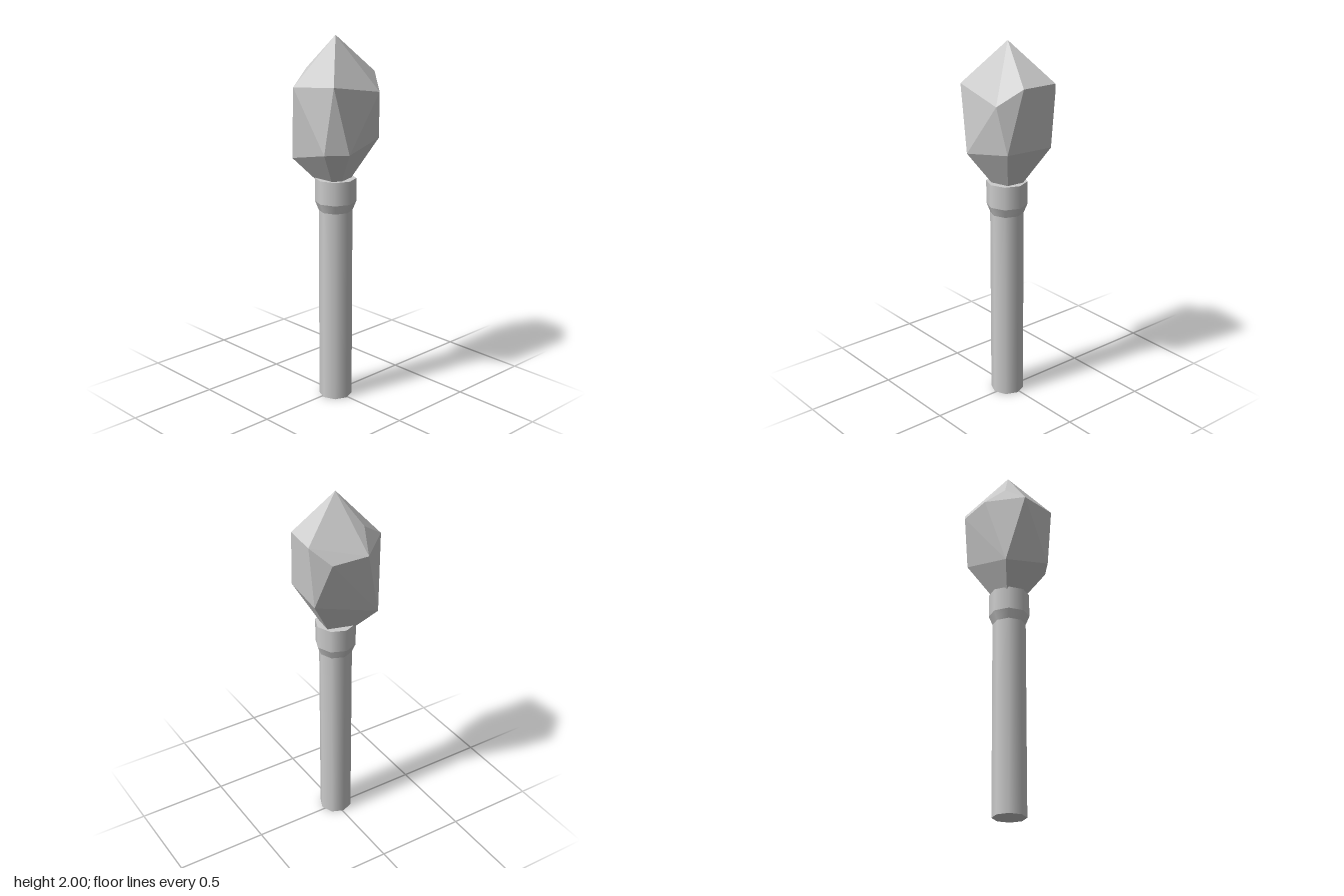
import * as THREE from 'three';
import { ConvexGeometry } from 'three/addons/geometries/ConvexGeometry.js';

const SIDES = 8;
const AXIS = { x: -0.008, z: 0.017 };

export function createModel() {
  const group = new THREE.Group();
  const smooth = new THREE.MeshStandardMaterial({ color: 0xcccccc });
  const faceted = new THREE.MeshStandardMaterial({ color: 0xcccccc, flatShading: true });

  // Eight-sided section of the shaft between two heights
  function section(name, bottomRadius, topRadius, y0, y1, open = false) {
    const geometry = new THREE.CylinderGeometry(topRadius, bottomRadius, y1 - y0, SIDES, 1, open);
    const mesh = new THREE.Mesh(geometry, smooth);
    mesh.name = name;
    mesh.position.set(AXIS.x, (y0 + y1) / 2, AXIS.z);
    group.add(mesh);
  }
  section('handle', 0.09, 0.09, 0, 1.08);
  section('collarTaper', 0.09, 0.11, 1.07, 1.12, true);
  section('collar', 0.11, 0.11, 1.12, 1.247);

  // Irregular faceted head: tip, shoulder ring, lower ring, buried point
  const corners = [
    [-0.005, 2.0, 0.013],
    [0.225, 1.8, -0.108], [0.208, 1.8, 0.086], [0.13, 1.713, 0.2], [-0.18, 1.77, 0.183],
    [-0.225, 1.745, -0.07], [-0.102, 1.83, -0.103], [-0.057, 1.725, -0.215], [0.137, 1.712, -0.187],
    [-0.097, 1.416, 0.212], [-0.197, 1.416, 0.13], [0.17, 1.46, 0.16], [0.195, 1.455, -0.11],
    [-0.16, 1.35, -0.155],
    [0, 1.13, 0.016],
  ].map((p) => new THREE.Vector3(...p));
  const head = new THREE.Mesh(new ConvexGeometry(corners), faceted);
  head.name = 'crystalHead';
  group.add(head);

  return group;
}
